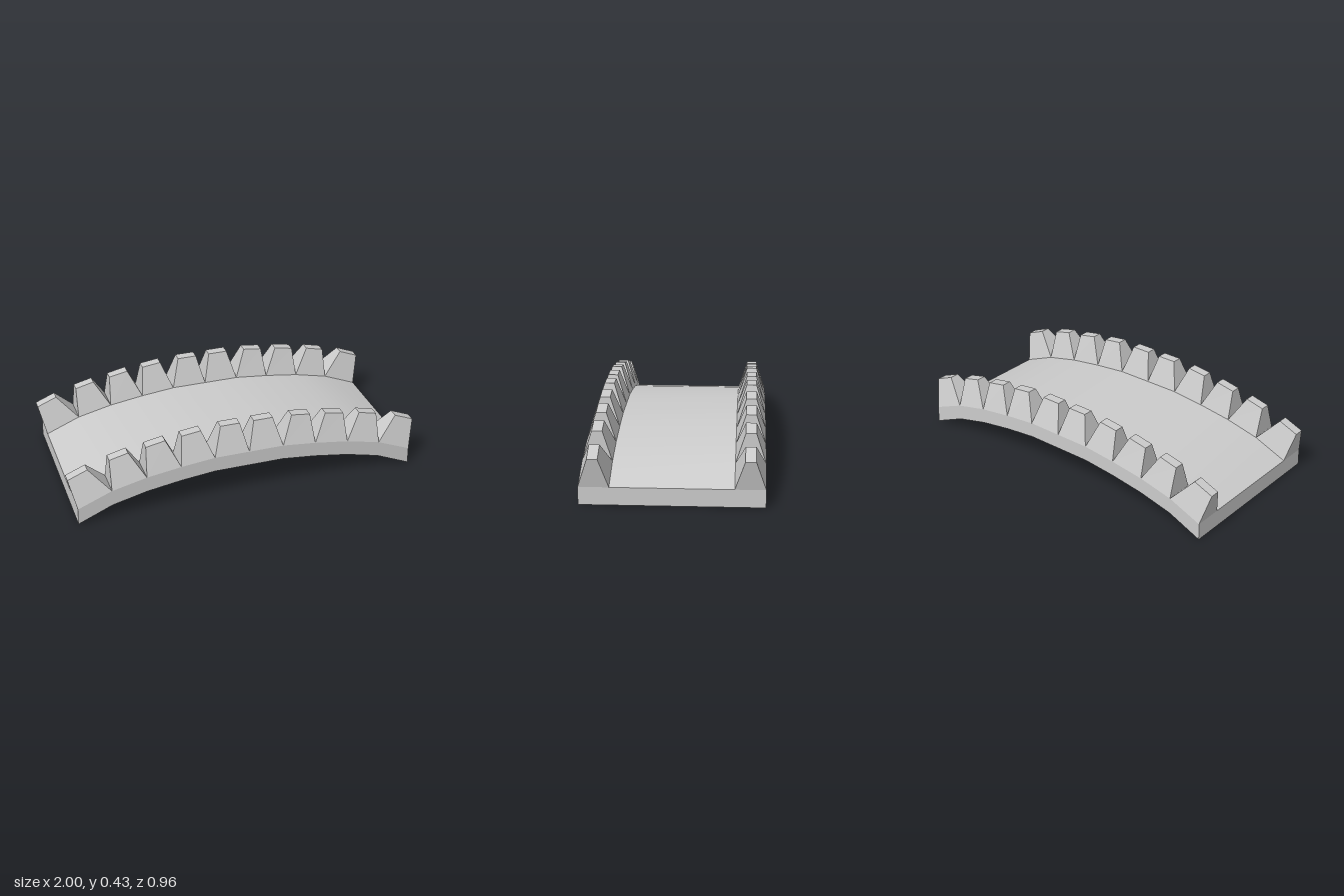
import * as THREE from 'three';
import { toCreasedNormals } from 'three/addons/utils/BufferGeometryUtils.js';

// Half profiles of the arch from the crown outwards: [x, y]
const deckLine = [[0, 0.266], [0.197, 0.266], [0.387, 0.246], [0.58, 0.218], [0.774, 0.173], [0.964, 0.095]];
const underside = [[0, 0.18], [0.197, 0.18], [0.387, 0.16], [0.58, 0.13], [0.774, 0.083], [0.966, 0]];
// Inner and outer top corners of each merlon
const toothTops = [
  [[0.04, 0.426], [0.15, 0.426]],
  [[0.26, 0.42], [0.368, 0.406]],
  [[0.46, 0.396], [0.568, 0.375]],
  [[0.665, 0.36], [0.77, 0.334]],
  [[0.89, 0.299], [1.0, 0.254]],
];
const HALF_WIDTH = 0.48, TOOTH_Z = 0.4, BASE_HALF = 0.08, TOP_HALF = 0.0275;

const material = new THREE.MeshStandardMaterial({ color: 0xcccccc });

// Full line from -x to +x out of a half profile
function mirrored(half) {
  return [...half.slice(1).reverse().map(([x, y]) => [-x, y]), ...half];
}

// Curved slab running the full depth
function makeDeck() {
  const outline = [...mirrored(underside), ...mirrored(deckLine).reverse()];
  const shape = new THREE.Shape(outline.map(([x, y]) => new THREE.Vector2(x, y)));
  const geometry = new THREE.ExtrudeGeometry(shape, { depth: 2 * HALF_WIDTH, bevelEnabled: false });
  geometry.translate(0, 0, -HALF_WIDTH);
  return new THREE.Mesh(toCreasedNormals(geometry, 0.6), material);
}

// Tapered block standing on one span of the deck, open underneath
function makeTooth(i, sideX, sideZ) {
  const box = new THREE.BoxGeometry(1, 1, 1);
  const p = box.attributes.position;
  for (let v = 0; v < p.count; v++) {
    const end = (p.getX(v) > 0) === (sideX > 0) ? 1 : 0;
    const top = p.getY(v) > 0;
    const [x, y] = top ? toothTops[i][end] : deckLine[i + end];
    const half = top ? TOP_HALF : BASE_HALF;
    p.setXYZ(v, sideX * x, y, sideZ * TOOTH_Z + Math.sign(p.getZ(v)) * half);
  }
  const index = Array.from(box.index.array);
  index.splice(18, 6); // drop the hidden bottom
  box.setIndex(index);
  const geometry = box.toNonIndexed();
  geometry.clearGroups();
  geometry.computeVertexNormals();
  return new THREE.Mesh(geometry, material);
}

export function createModel() {
  const model = new THREE.Group();
  model.name = 'archedBridge';

  const deck = makeDeck();
  deck.name = 'deck';
  model.add(deck);

  // Toothed parapet along each long edge
  for (const sideZ of [1, -1]) {
    const parapet = new THREE.Group();
    parapet.name = sideZ > 0 ? 'frontParapet' : 'backParapet';
    for (const sideX of [1, -1]) {
      toothTops.forEach((_, i) => {
        const tooth = makeTooth(i, sideX, sideZ);
        tooth.name = `${sideX > 0 ? 'left' : 'right'}Merlon${i + 1}`;
        parapet.add(tooth);
      });
    }
    model.add(parapet);
  }
  return model;
}
